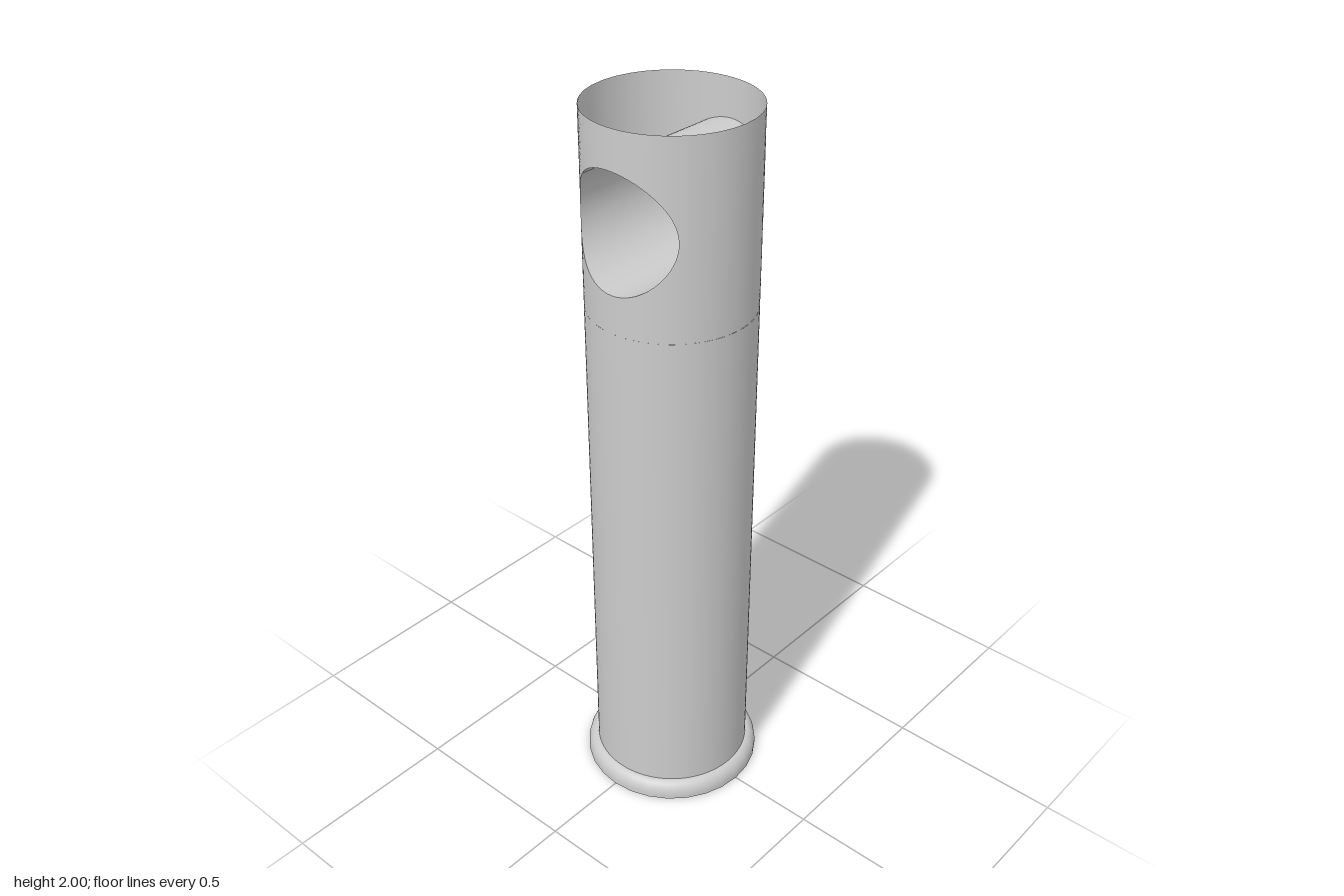
import * as THREE from 'three';
import { ParametricGeometry } from 'three/addons/geometries/ParametricGeometry.js';

const R = 0.22;        // tube radius
const HOLE = 0.157;    // cross bore radius
const HOLE_Y = 1.74;   // cross bore height
const TOP = 2;
const HALF = TOP - HOLE_Y; // half height of the pierced section

export function createModel() {
  const model = new THREE.Group();
  const material = new THREE.MeshStandardMaterial({ color: 0xcccccc, side: THREE.DoubleSide });
  const add = (name, geometry) => {
    const mesh = new THREE.Mesh(geometry, material);
    mesh.name = name;
    model.add(mesh);
    return mesh;
  };

  // Plain lower length of the thin, open tube
  const lower = HOLE_Y - HALF;
  add('tubeWall', new THREE.CylinderGeometry(R, R, lower, 96, 1, true)).position.y = lower / 2;

  // Pierced upper length: each half spreads from the round hole to a rectangle wrapped on the tube
  const piercedHalf = new ParametricGeometry((u, v, target) => {
    const t = -u * Math.PI * 2;
    const c = Math.cos(t), s = Math.sin(t);
    const m = Math.max(Math.abs(c), Math.abs(s));
    const angle = THREE.MathUtils.lerp(Math.asin(HOLE * c / R), Math.PI / 2 * c / m, v);
    const y = HOLE_Y + THREE.MathUtils.lerp(HOLE * s, HALF * s / m, v);
    target.set(R * Math.sin(angle), y, R * Math.cos(angle));
  }, 96, 12);
  add('piercedWallFront', piercedHalf);
  add('piercedWallBack', piercedHalf).rotation.y = Math.PI;

  // Cross bore running front to back, its ends trimmed to the tube
  add('crossBore', new ParametricGeometry((u, v, target) => {
    const t = u * Math.PI * 2;
    const x = HOLE * Math.cos(t);
    target.set(x, HOLE_Y + HOLE * Math.sin(t), Math.sqrt(R * R - x * x) * (2 * v - 1));
  }, 96, 1));

  // Rounded foot ring with a flat underside
  const foot = [new THREE.Vector2(R + 0.002, 0), new THREE.Vector2(0.25, 0), new THREE.Vector2(0.25, 0)];
  for (let i = 0; i <= 8; i++) {
    const a = i / 8 * Math.PI / 2;
    foot.push(new THREE.Vector2(R + 0.03 * Math.cos(a), 0.01 + 0.04 * Math.sin(a)));
  }
  add('footRing', new THREE.LatheGeometry(foot, 28));

  return model;
}
